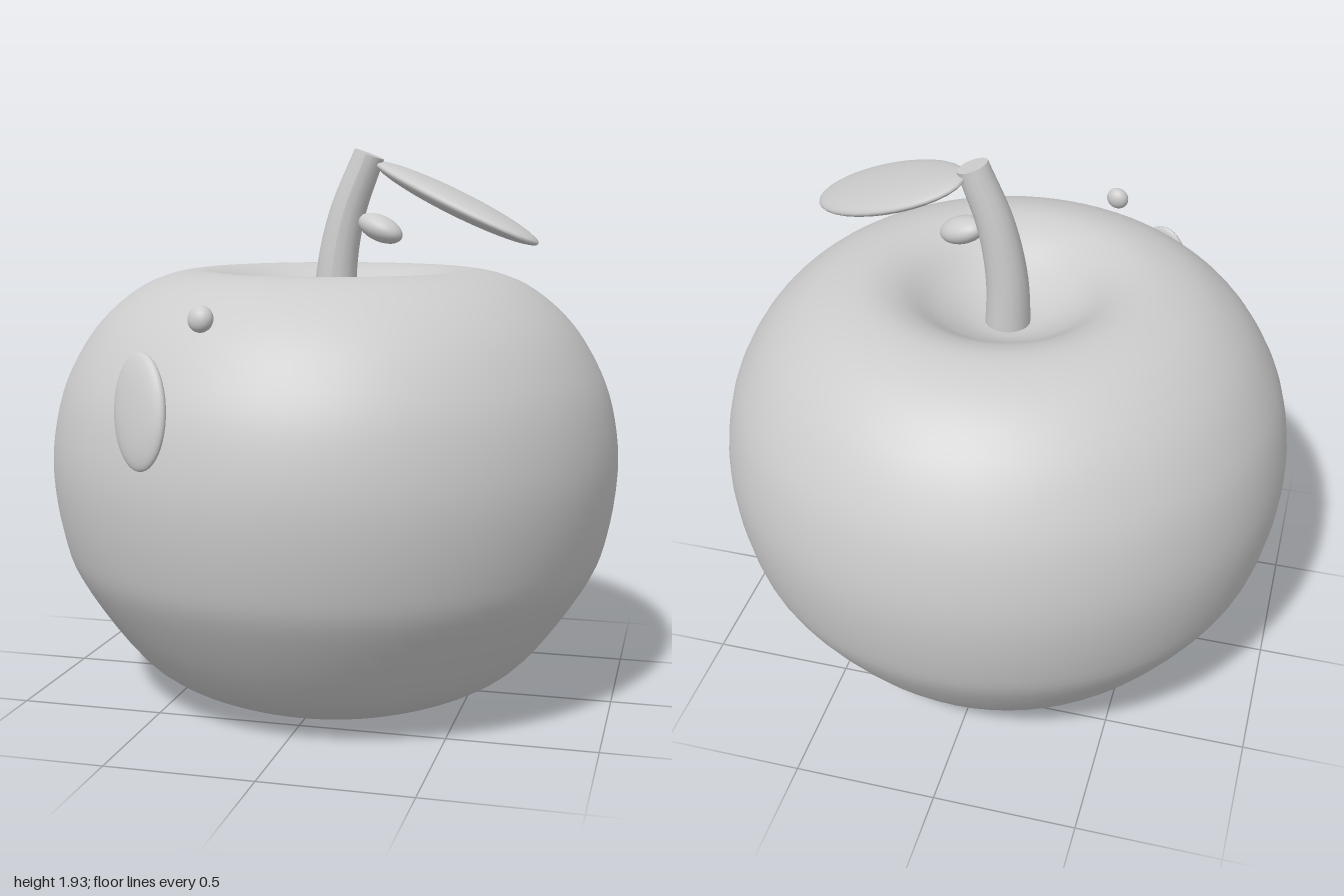
import * as THREE from 'three';

const V2 = (x, y) => new THREE.Vector2(x, y);

export function createModel() {
  const model = new THREE.Group();
  const grey = new THREE.MeshStandardMaterial({ color: 0xcccccc });
  grey.name = 'plain grey';

  const add = (name, geometry) => {
    const mesh = new THREE.Mesh(geometry, grey);
    mesh.name = name;
    model.add(mesh);
    return mesh;
  };

  // Flattened ball: centre, semi-axes and turn in degrees
  const ellipsoid = (name, centre, axes, turn = [0, 0, 0], order = 'ZYX') => {
    const mesh = add(name, new THREE.SphereGeometry(1, 32, 20));
    mesh.position.set(...centre);
    mesh.scale.set(...axes);
    mesh.rotation.set(...turn.map(THREE.MathUtils.degToRad), order);
    return mesh;
  };

  // Fruit body, with a dimple at the bottom and a deeper one at the top
  const profile = new THREE.SplineCurve([
    V2(0, 0.13), V2(0.12, 0.1), V2(0.24, 0.035), V2(0.36, 0.003), V2(0.5, 0.03),
    V2(0.7, 0.15), V2(0.9, 0.42), V2(0.97, 0.6), V2(1, 0.84), V2(0.97, 1.06),
    V2(0.9, 1.225), V2(0.8, 1.36), V2(0.66, 1.465), V2(0.5, 1.51), V2(0.37, 1.485),
    V2(0.24, 1.4), V2(0.12, 1.345), V2(0, 1.33),
  ]);
  const points = profile.getPoints(80);
  points[0].x = points[80].x = 0;
  add('fruitBody', new THREE.LatheGeometry(points, 72));

  // Bent stem: a tube narrowed towards the top
  const path = new THREE.CatmullRomCurve3([
    [0, 1.3], [0.003, 1.5], [0.04, 1.7], [0.12, 1.91],
  ].map(([x, y]) => new THREE.Vector3(x, y, 0)));
  const rows = 16, sides = 16;
  const stem = new THREE.TubeGeometry(path, rows, 1, sides);
  const pos = stem.attributes.position, p = new THREE.Vector3();
  for (let i = 0; i < pos.count; i++) {
    const t = Math.floor(i / (sides + 1)) / rows;
    const centre = path.getPointAt(t);
    p.fromBufferAttribute(pos, i).sub(centre).multiplyScalar(0.08 - 0.025 * t).add(centre);
    pos.setXYZ(i, p.x, p.y, p.z);
  }
  stem.computeVertexNormals();
  add('stem', stem);

  // Cut end of the stem
  const cap = add('stemEnd', new THREE.CircleGeometry(0.055, sides));
  cap.position.copy(path.getPointAt(1));
  cap.quaternion.setFromUnitVectors(new THREE.Vector3(0, 0, 1), path.getTangentAt(1));

  // Leaf and the bud below it
  ellipsoid('leaf', [0.435, 1.747, 0.08], [0.363, 0.04, 0.175], [0, -28, -24]);
  ellipsoid('bud', [0.165, 1.655, 0.025], [0.09, 0.045, 0.06], [0, -20, -22]);

  // Raised highlights on the front
  ellipsoid('largeHighlight', [-0.395, 1.115, 0.892], [0.112, 0.186, 0.035], [-10, -27, 12], 'YXZ');
  ellipsoid('smallHighlight', [-0.21, 1.4, 0.845], [0.042, 0.042, 0.033], [-15, -15, 0]);

  return model;
}
